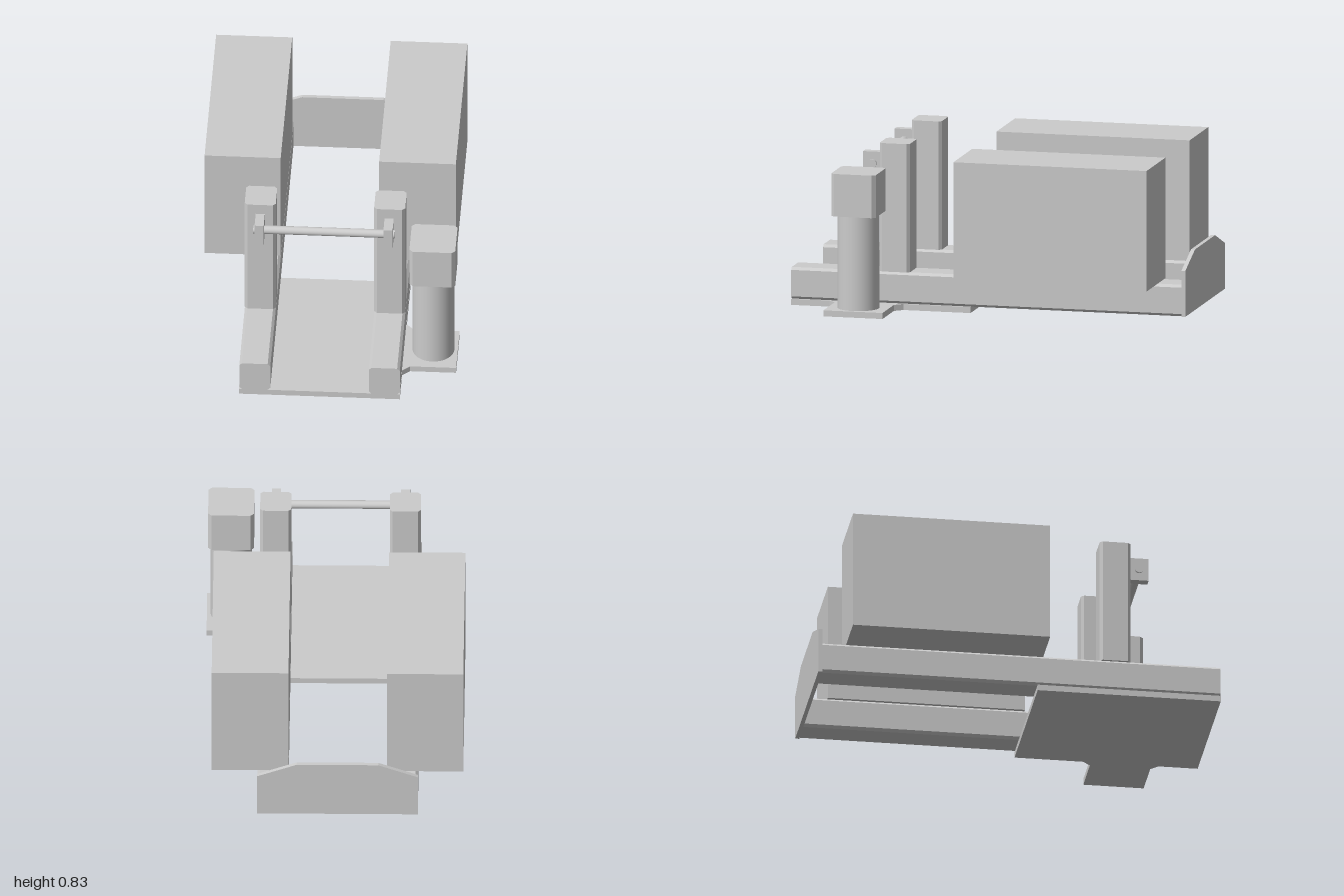
import * as THREE from 'three';

const material = new THREE.MeshStandardMaterial({ color: 0xcccccc, flatShading: true });
const smooth = new THREE.MeshStandardMaterial({ color: 0xcccccc });

function add(parent, name, geometry, mat = material) {
  const mesh = new THREE.Mesh(geometry, mat);
  mesh.name = name;
  parent.add(mesh);
  return mesh;
}

// Box given by its lower and upper corners
function box(parent, name, [x0, y0, z0], [x1, y1, z1]) {
  const mesh = add(parent, name, new THREE.BoxGeometry(x1 - x0, y1 - y0, z1 - z0));
  mesh.position.set((x0 + x1) / 2, (y0 + y1) / 2, (z0 + z1) / 2);
  return mesh;
}

// Prism along z from an x-y outline
function prism(points, z0, z1) {
  const shape = new THREE.Shape(points.map(([x, y]) => new THREE.Vector2(x, y)));
  return new THREE.ExtrudeGeometry(shape, { depth: z1 - z0, bevelEnabled: false }).translate(0, 0, z0);
}

// Upright prism from an x-z outline
function upright(points, y0, y1) {
  return prism(points.map(([x, z]) => [x, -z]), y0, y1).rotateX(-Math.PI / 2);
}

// Rectangle with cut corners
function cutRect(x0, y0, x1, y1, c) {
  return [
    [x0 + c, y0], [x1 - c, y0], [x1, y0 + c], [x1, y1 - c],
    [x1 - c, y1], [x0 + c, y1], [x0, y1 - c], [x0, y0 + c],
  ];
}

export function createModel() {
  const model = new THREE.Group();
  model.name = 'twinRailMachine';

  // Floor plate with a tab carrying the column
  add(model, 'basePlate', upright([
    [-0.42, 0.09], [0.373, 0.09], [0.373, 0.43], [0.41, 0.47], [0.637, 0.47],
    [0.637, 0.77], [0.41, 0.77], [0.373, 0.805], [0.373, 1], [-0.42, 1],
  ], 0, 0.03));

  // Each side: rail, post, large cabinet and rod bracket
  const sides = [
    { name: 'right', x0: -0.418, x1: -0.265, cab: [-0.64, -0.265], br: [-0.363, -0.318] },
    { name: 'left', x0: 0.22, x1: 0.373, cab: [0.22, 0.598], br: [0.272, 0.317] },
  ];
  for (const { name, x0, x1, cab, br } of sides) {
    const side = new THREE.Group();
    side.name = name + 'Side';
    model.add(side);
    add(side, 'rail', prism(cutRect(x0, 0.03, x1, 0.188, 0.013), -0.98, 1));
    add(side, 'post', upright(cutRect(x0, 0.4, x1, 0.553, 0.014), 0.188, 0.83));
    box(side, 'cabinet', [cab[0], 0.19, -0.86], [cab[1], 0.793, 0.12]);
    box(side, 'rodBracket', [br[0], 0.657, 0.553], [br[1], 0.775, 0.65]);
  }

  // Cross rod through the brackets
  const rod = add(model, 'crossRod', new THREE.CylinderGeometry(0.021, 0.021, 0.697, 32), smooth);
  rod.rotation.z = Math.PI / 2;
  rod.position.set(-0.023, 0.717, 0.602);

  // Rear end plate with sloping shoulders
  add(model, 'endPlate', prism([
    [-0.418, 0.03], [0.373, 0.03], [0.373, 0.26], [0.178, 0.333], [-0.223, 0.333], [-0.418, 0.26],
  ], -1, -0.98));

  // Round column with a block head
  const column = add(model, 'column', new THREE.CylinderGeometry(0.103, 0.103, 0.47, 48), smooth);
  column.position.set(0.517, 0.265, 0.622);
  add(model, 'columnHead', upright(cutRect(0.404, 0.51, 0.63, 0.735, 0.017), 0.5, 0.713));

  return model;
}
